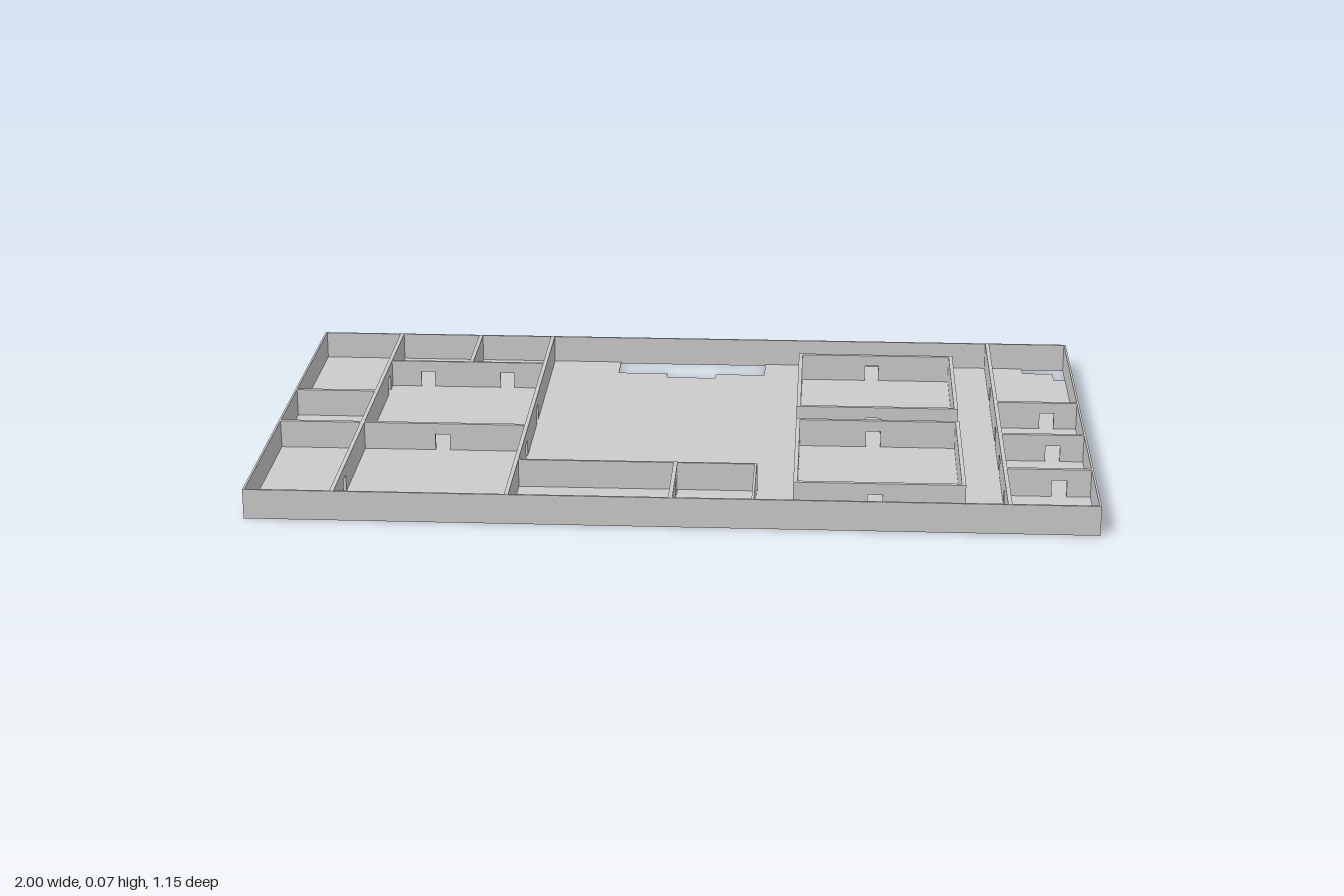
import * as THREE from 'three';

const X = 1, Z = 0.577, H = 0.073, FLOOR = 0.004;
const DOOR_W = 0.036, DOOR_H = 0.045;

export function createModel() {
  const group = new THREE.Group();
  const material = new THREE.MeshStandardMaterial({ color: 0xcccccc, flatShading: true });

  const add = (name, geometry) => {
    const mesh = new THREE.Mesh(geometry, material);
    mesh.name = name;
    group.add(mesh);
    return mesh;
  };

  // Upright panel from a to b with doorways cut at the given positions
  const panel = (a, b, doors, t) => {
    const s = new THREE.Shape();
    s.moveTo(a, 0);
    for (const d of [...doors].sort((p, q) => p - q)) {
      s.lineTo(d - DOOR_W / 2, 0);
      s.lineTo(d - DOOR_W / 2, DOOR_H);
      s.lineTo(d + DOOR_W / 2, DOOR_H);
      s.lineTo(d + DOOR_W / 2, 0);
    }
    s.lineTo(b, 0);
    s.lineTo(b, H);
    s.lineTo(a, H);
    return new THREE.ExtrudeGeometry(s, { depth: t, bevelEnabled: false }).translate(0, 0, -t / 2);
  };
  // Wall running along x at a given z
  const wallX = (name, z, x0, x1, doors = [], t = 0.01) =>
    add(name, panel(x0, x1, doors, t).translate(0, 0, z));
  // Wall running along z at a given x
  const wallZ = (name, x, z0, z1, doors = [], t = 0.01) =>
    add(name, panel(-z1, -z0, doors.map((d) => -d), t).rotateY(Math.PI / 2).translate(x, 0, 0));

  // Floor slab with stepped openings along the back edge (shape y = -z)
  const outline = [
    [-X, -Z], [X, -Z], [X, 0.485], [0.965, 0.485], [0.965, 0.535], [0.885, 0.535], [0.885, Z],
    [0.195, Z], [0.195, 0.485], [0.065, 0.485], [0.065, 0.455], [-0.065, 0.455],
    [-0.065, 0.485], [-0.195, 0.485], [-0.195, Z], [-X, Z],
  ].map(([x, y]) => new THREE.Vector2(x, y));
  add('floor', new THREE.ExtrudeGeometry(new THREE.Shape(outline), { depth: FLOOR, bevelEnabled: false })
    .rotateX(-Math.PI / 2));

  // Outer walls
  const T = 0.005;
  for (const s of [-1, 1]) {
    wallX(s > 0 ? 'frontOuterWall' : 'backOuterWall', s * (Z - T / 2), -X, X, [], T);
    wallZ(s > 0 ? 'leftOuterWall' : 'rightOuterWall', s * (X - T / 2), -Z, Z, [], T);
  }

  // Long partitions across the plan
  wallZ('rightColumnWall', -0.79, -Z, Z, [-0.3, 0.05, 0.42]);
  wallZ('hallWall', -0.38, -Z, Z, [-0.1, 0.16]);
  wallZ('leftColumnWall', 0.79, -Z, Z, [-0.3, 0, 0.2, 0.42]);

  // Right-hand rooms
  wallX('rightRoomDivider', -0.12, -X, -0.79);
  wallX('rightRoomDivider', 0.11, -X, -0.38, [-0.59]);
  wallX('backRoomFront', -0.355, -0.79, -0.38, [-0.69, -0.48], 0.006);
  wallZ('backRoomDivider', -0.575, -Z, -0.355);

  // Front rooms beside the hall
  wallX('frontRoomBack', 0.347, -0.38, 0.2, [], 0.006);
  wallZ('frontRoomDivider', 0.003, 0.347, Z, [0.4]);
  wallZ('frontRoomSide', 0.195, 0.347, Z, [0.45], 0.006);

  // Left-hand rooms
  for (const z of [-0.12, 0.11, 0.343]) wallX('leftRoomDivider', z, 0.79, X, [0.92]);

  // Two free-standing rooms
  for (const [z0, z1] of [[-0.463, -0.063], [0.033, 0.457]]) {
    const mid = (z0 + z1) / 2;
    wallX('islandRoomBack', z0, 0.287, 0.693, [0.48]);
    wallX('islandRoomFront', z1, 0.287, 0.693, [0.48]);
    wallZ('islandRoomRight', 0.292, z0, z1, [mid]);
    wallZ('islandRoomLeft', 0.688, z0, z1);
  }
  return group;
}
